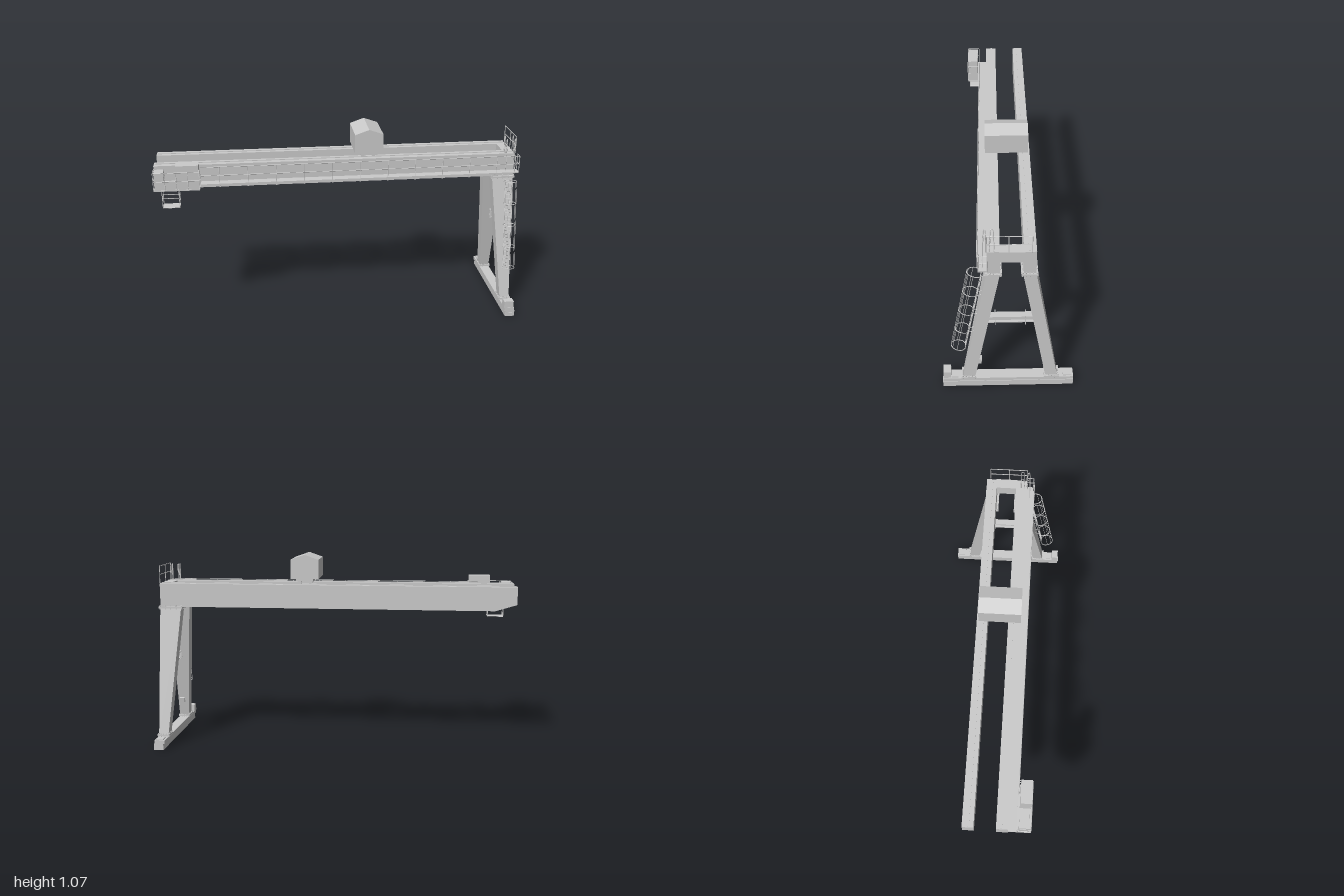
import * as THREE from 'three';

const mat = new THREE.MeshStandardMaterial({ color: 0xcccccc, flatShading: true, side: THREE.DoubleSide });
const V = (x, y, z) => new THREE.Vector3(x, y, z);

function add(parent, geometry, name) {
  const mesh = new THREE.Mesh(geometry, mat);
  mesh.name = name;
  parent.add(mesh);
  return mesh;
}

// Box given by its limits on each axis
function box(parent, name, x0, x1, y0, y1, z0, z1) {
  const m = add(parent, new THREE.BoxGeometry(x1 - x0, y1 - y0, z1 - z0), name);
  m.position.set((x0 + x1) / 2, (y0 + y1) / 2, (z0 + z1) / 2);
  return m;
}

// Tapered box: bottom and top rectangles as [x0, x1, z0, z1]
function taper(parent, name, y0, bottom, y1, top) {
  const g = new THREE.BoxGeometry(1, 1, 1), p = g.attributes.position;
  for (let i = 0; i < p.count; i++) {
    const up = p.getY(i) > 0, r = up ? top : bottom;
    p.setXYZ(i, p.getX(i) > 0 ? r[1] : r[0], up ? y1 : y0, p.getZ(i) > 0 ? r[3] : r[2]);
  }
  g.computeVertexNormals();
  return add(parent, g, name);
}

// Straight rod between two points
function rod(parent, name, a, b, r = 0.002) {
  const m = add(parent, new THREE.CylinderGeometry(r, r, a.distanceTo(b), 6), name);
  m.position.copy(a).add(b).multiplyScalar(0.5);
  m.quaternion.setFromUnitVectors(V(0, 1, 0), b.clone().sub(a).normalize());
  return m;
}

function bentRod(parent, name, points, r = 0.002) {
  return add(parent, new THREE.TubeGeometry(new THREE.CatmullRomCurve3(points), 20, r, 5), name);
}

// Extrude a side profile (x, y) along z
function profile(parent, name, pts, z0, z1) {
  const shape = new THREE.Shape(pts.map(p => new THREE.Vector2(...p)));
  const m = add(parent, new THREE.ExtrudeGeometry(shape, { depth: z1 - z0, bevelEnabled: false }), name);
  m.position.z = z0;
  return m;
}

// Guard rail along a path of floor points: posts, top rail and knee rail
function railing(parent, name, pts, height) {
  const g = new THREE.Group();
  g.name = name;
  parent.add(g);
  const up = (p, h) => p.clone().setY(p.y + h);
  pts.forEach((p, i) => {
    rod(g, 'post', p, up(p, height));
    if (!i) return;
    rod(g, 'topRail', up(pts[i - 1], height), up(p, height));
    rod(g, 'kneeRail', up(pts[i - 1], height / 2), up(p, height / 2));
  });
}

// Flange plates with a ring of bolts
function flange(parent, y, x0, x1, z0, z1) {
  const g = new THREE.Group();
  g.name = 'boltedFlange';
  parent.add(g);
  box(g, 'flangePlate', x0, x1, y - 0.005, y + 0.005, z0, z1);
  for (let i = 0; i < 5; i++) {
    const x = x0 + 0.006 + (x1 - x0 - 0.012) * i / 4, z = z0 + 0.006 + (z1 - z0 - 0.012) * i / 4;
    for (const e of [z0 + 0.006, z1 - 0.006]) rod(g, 'bolt', V(x, y - 0.011, e), V(x, y + 0.011, e), 0.003);
    for (const e of [x0 + 0.005, x1 - 0.005]) rod(g, 'bolt', V(e, y - 0.011, z), V(e, y + 0.011, z), 0.003);
  }
}

function buildBridge(parent) {
  const g = new THREE.Group();
  g.name = 'bridge';
  g.rotation.y = -0.0055;
  parent.add(g);

  // Two main girders with raked free ends and trolley rails
  const side = [[-0.995, 0.81], [-0.88, 0.775], [0.975, 0.775], [0.975, 0.905], [-0.995, 0.905]];
  for (const [z0, z1, zr] of [[-0.132, -0.074, -0.1], [0.036, 0.095, 0.062]]) {
    profile(g, 'mainGirder', side, z0, z1);
    box(g, 'trolleyRail', -0.99, 0.97, 0.905, 0.909, zr - 0.004, zr + 0.004);
  }
  box(g, 'endTie', 0.922, 0.978, 0.845, 0.905, -0.08, 0.04);

  // Side walkway with brackets and guard rail
  box(g, 'walkwayDeck', -0.99, 0.97, 0.803, 0.81, 0.09, 0.142);
  const posts = [];
  for (let i = 0; i < 12; i++) {
    const x = -0.8 + i * 0.1515;
    posts.push(V(x, 0.81, 0.14));
    box(g, 'walkwayBracket', x - 0.004, x + 0.004, 0.79, 0.803, 0.09, 0.14);
  }
  posts.push(V(0.97, 0.81, 0.14));
  railing(g, 'walkwayRailing', posts, 0.095);

  // Service platform at the free end with cabinets
  box(g, 'servicePlatform', -0.99, -0.75, 0.803, 0.811, 0.138, 0.208);
  railing(g, 'platformRailing', [V(-0.99, 0.81, 0.14), V(-0.99, 0.81, 0.208), V(-0.93, 0.81, 0.208),
    V(-0.87, 0.81, 0.208), V(-0.81, 0.81, 0.208), V(-0.75, 0.81, 0.208), V(-0.75, 0.81, 0.14)], 0.095);
  box(g, 'tallCabinet', -0.87, -0.752, 0.811, 0.94, 0.148, 0.205);
  box(g, 'endCabinet', -0.985, -0.935, 0.811, 0.905, 0.148, 0.205);
  box(g, 'kickPanel', -0.935, -0.87, 0.811, 0.86, 0.2, 0.206);

  // Open basket hung below the platform
  const xs = [-0.95, -0.862], zs = [0.144, 0.2];
  const corners = [[0, 0], [1, 0], [1, 1], [0, 1]].map(([i, j]) => [xs[i], zs[j]]);
  corners.forEach(([x, z], i) => {
    const [nx, nz] = corners[(i + 1) % 4];
    rod(g, 'basketPost', V(x, 0.705, z), V(x, 0.805, z));
    for (const y of [0.707, 0.76]) rod(g, 'basketRail', V(x, y, z), V(nx, y, nz));
  });
  box(g, 'basketFloor', -0.95, -0.862, 0.704, 0.708, 0.144, 0.2);
}

function buildTrolley(parent) {
  const g = new THREE.Group();
  g.name = 'trolley';
  parent.add(g);
  profile(g, 'trolleyHouse', [[0.083, 0.937], [0.237, 0.937], [0.237, 1.043], [0.16, 1.07], [0.083, 1.043]], -0.12, 0.104);
  box(g, 'trolleyFrame', 0.113, 0.207, 0.926, 0.937, -0.115, 0.1);
  box(g, 'hoistUnderside', 0.12, 0.2, 0.915, 0.926, -0.062, 0.04);
  for (const z of [-0.1, 0.064]) for (const x of [0.13, 0.19]) {
    const wheel = add(g, new THREE.CylinderGeometry(0.012, 0.012, 0.012, 16), 'trolleyWheel');
    wheel.rotation.x = Math.PI / 2;
    wheel.position.set(x, 0.919, z);
  }
}

function buildPortal(parent) {
  const g = new THREE.Group();
  g.name = 'supportPortal';
  parent.add(g);

  // Splayed, tapering legs
  taper(g, 'frontLeg', 0.055, [0.922, 0.975, 0.17, 0.23], 0.775, [0.857, 0.977, 0.04, 0.103]);
  taper(g, 'backLeg', 0.055, [0.922, 0.975, -0.25, -0.19], 0.775, [0.857, 0.977, -0.127, -0.065]);
  flange(g, 0.77, 0.85, 0.985, 0.032, 0.111);
  flange(g, 0.77, 0.85, 0.985, -0.135, -0.057);
  flange(g, 0.062, 0.914, 0.982, 0.162, 0.238);
  flange(g, 0.062, 0.914, 0.982, -0.258, -0.182);

  // I-section cross tie with joint plates
  box(g, 'crossTieWeb', 0.942, 0.95, 0.442, 0.48, -0.13, 0.11);
  for (const y of [0.442, 0.476]) box(g, 'crossTieFlange', 0.928, 0.964, y, y + 0.004, -0.13, 0.11);
  for (const z of [0.064, -0.082]) box(g, 'jointPlate', 0.922, 0.97, 0.434, 0.488, z - 0.002, z + 0.002);

  // Travelling base beam
  box(g, 'baseBeam', 0.927, 0.98, 0, 0.035, -0.332, 0.332);
  box(g, 'baseBeamTop', 0.92, 0.977, 0.035, 0.054, -0.332, 0.332);
  box(g, 'driveBox', 0.918, 0.972, 0.054, 0.094, 0.292, 0.33);
  box(g, 'baseCover', 0.93, 0.97, 0.054, 0.06, -0.325, -0.28);
  box(g, 'baseCover', 0.93, 0.97, 0.054, 0.06, 0.255, 0.29);
  box(g, 'buffer', 0.935, 0.965, 0.008, 0.025, 0.332, 0.336);
  const control = box(g, 'controlBox', 0.935, 0.965, 0.152, 0.18, 0.134, 0.158);
  control.rotation.x = -0.17;

  // End guard rail and grab hoops above the ladder
  railing(g, 'endRailing', [V(0.98, 0.905, -0.105), V(0.98, 0.905, 0), V(0.98, 0.905, 0.1)], 0.095);
  for (const x of [0.925, 0.97]) for (const [za, zb, y] of [[0.122, 0.105, 0.8], [0.09, 0.068, 0.905]])
    bentRod(g, 'grabHoop', [V(x, y, za), V(x, 0.97, za - 0.006), V(x, 0.998, za - 0.01),
      V(x, 0.998, zb + 0.004), V(x, 0.97, zb), V(x, 0.9, zb)]);
  box(g, 'ladderLanding', 0.905, 0.995, 0.803, 0.81, 0.095, 0.142);
  railing(g, 'landingRailing', [V(0.97, 0.81, 0.14), V(0.995, 0.81, 0.14), V(0.995, 0.81, 0.1)], 0.09);
}

function buildLadder(parent) {
  const g = new THREE.Group();
  g.name = 'cagedLadder';
  parent.add(g);
  // Point on the sloping cage: t down the ladder, d outward from the rungs
  const at = (x, t, d) => V(x, 0.755 - 0.49 * t + 0.181 * d, 0.125 + 0.09 * t + 0.984 * d);
  for (const x of [0.93, 0.966]) rod(g, 'ladderRail', at(x, 0, 0), at(x, 1, 0));
  for (let i = 0; i <= 24; i++) rod(g, 'rung', at(0.93, i / 24, 0), at(0.966, i / 24, 0), 0.0012);
  for (let i = 0; i < 5; i++) {
    const t = i / 4;
    bentRod(g, 'cageHoop', [[0.93, 0], [0.917, 0.012], [0.915, 0.04], [0.928, 0.062], [0.948, 0.07],
      [0.968, 0.062], [0.981, 0.04], [0.979, 0.012], [0.966, 0]].map(([x, d]) => at(x, t, d)));
    if (i < 4) for (const x of [0.935, 0.961])
      rod(g, 'standOff', at(x, t + 0.02, 0), V(x, at(x, t, 0).y, at(x, t, 0).z - 0.03), 0.0015);
  }
  for (const [x, d] of [[0.915, 0.04], [0.981, 0.04], [0.928, 0.062], [0.968, 0.062], [0.948, 0.07]])
    rod(g, 'cageStrap', at(x, 0, d), at(x, 1, d), 0.0012);
}

export function createModel() {
  const model = new THREE.Group();
  model.name = 'semiGantryCrane';
  buildBridge(model);
  buildTrolley(model);
  buildPortal(model);
  buildLadder(model);
  return model;
}
